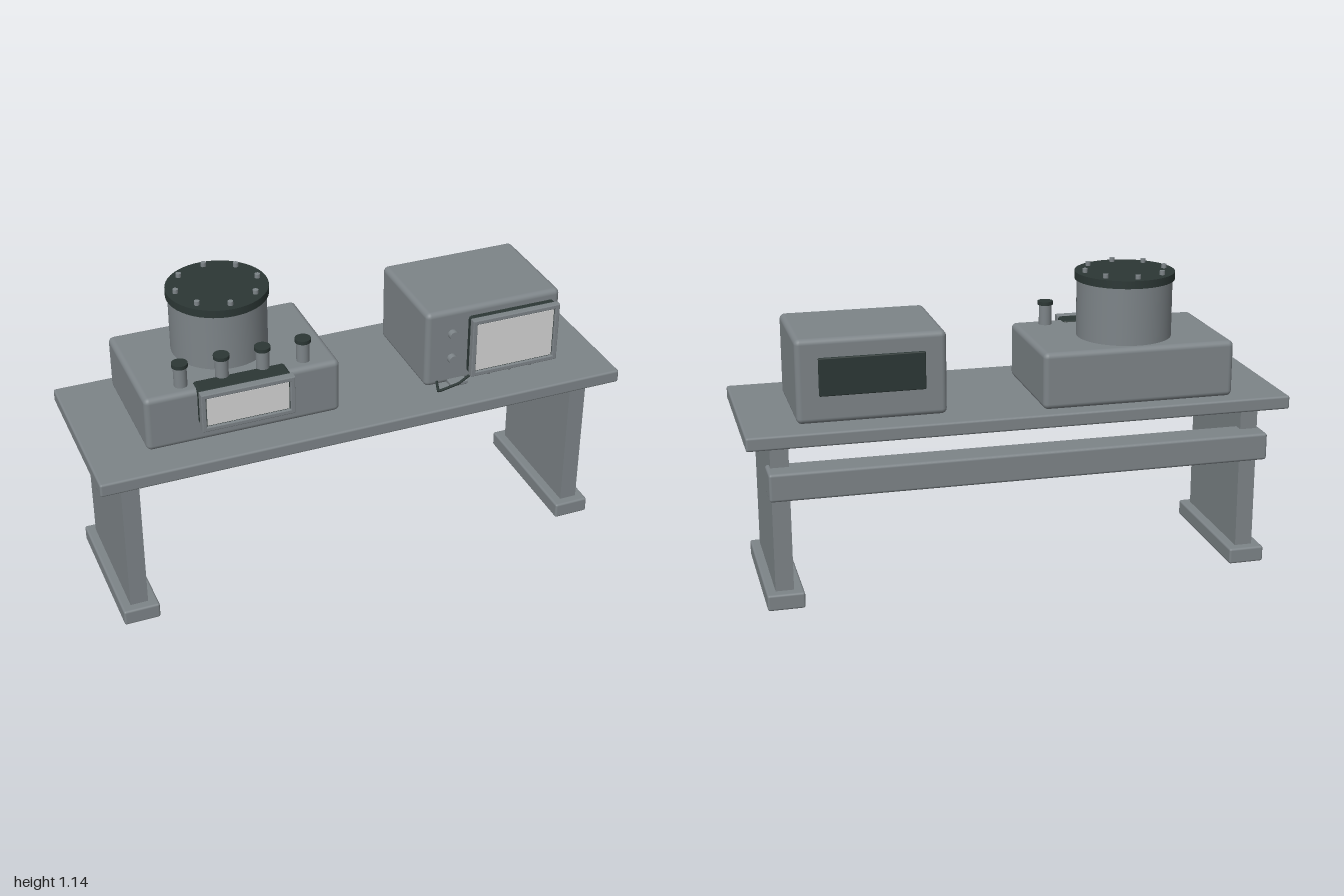
import * as THREE from 'three';
import { RoundedBoxGeometry } from 'three/addons/geometries/RoundedBoxGeometry.js';

const mat = (name, color) => {
  const m = new THREE.MeshStandardMaterial({ color });
  m.name = name;
  return m;
};

export function createModel() {
  const gray = mat('steel gray', 0x7d8488);
  const dark = mat('dark green black', 0x2c3735);
  const light = mat('screen light gray', 0xd4d4d4);
  const root = new THREE.Group();
  root.name = 'workbench';

  const add = (name, geo, material, x = 0, y = 0, z = 0, parent = root) => {
    const m = new THREE.Mesh(geo, material);
    m.name = name;
    m.position.set(x, y, z);
    parent.add(m);
    return m;
  };
  // Rounded box given by its minimum and maximum on each axis
  const box = (name, material, [x0, x1], [y0, y1], [z0, z1], r = 0.01, parent = root) =>
    add(name, new RoundedBoxGeometry(x1 - x0, y1 - y0, z1 - z0, 3, r), material,
      (x0 + x1) / 2, (y0 + y1) / 2, (z0 + z1) / 2, parent);
  // Upright cylinder given by its bottom and top
  const cyl = (name, material, r, y0, y1, x, z, parent, sides = 24) =>
    add(name, new THREE.CylinderGeometry(r, r, y1 - y0, sides), material, x, (y0 + y1) / 2, z, parent);
  const rect = (P, x0, x1, y0, y1) => {
    const p = new P();
    p.moveTo(x0, y0);
    p.lineTo(x1, y0);
    p.lineTo(x1, y1);
    p.lineTo(x0, y1);
    p.closePath();
    return p;
  };
  // Bezel frame with a dark recess and a light display plate
  const screen = (name, [x0, x1], [y0, y1], [z0, z1], parent) => {
    const g = new THREE.Group();
    g.name = name;
    parent.add(g);
    const b = 0.014, e = 0.003;
    const s = rect(THREE.Shape, x0 + e, x1 - e, y0 + e, y1 - e);
    s.holes.push(rect(THREE.Path, x0 + b, x1 - b, y0 + b, y1 - b));
    add('bezel', new THREE.ExtrudeGeometry(s, {
      depth: z1 - z0 - 2 * e, bevelThickness: e, bevelSize: e, bevelSegments: 2,
    }), gray, 0, 0, z0 + e, g);
    const w = x1 - x0, h = y1 - y0, cx = (x0 + x1) / 2, cy = (y0 + y1) / 2;
    add('screenRim', new THREE.BoxGeometry(w - 2 * b, h - 2 * b, z1 - z0 - 0.01), dark,
      cx, cy, (z0 + z1 - 0.01) / 2, g);
    add('display', new THREE.BoxGeometry(w - 0.042, h - 0.042, 0.005), light, cx, cy, z1 - 0.009, g);
  };

  // Bench
  box('tabletop', gray, [-1, 1], [0.62, 0.67], [-0.33, 0.33], 0.008);
  for (const s of [-1, 1]) {
    const side = s > 0 ? 'left' : 'right';
    add(side + 'Leg', new THREE.BoxGeometry(0.066, 0.58, 0.488), gray, s * 0.878, 0.34, 0.002);
    add(side + 'Foot', new RoundedBoxGeometry(0.135, 0.06, 0.56, 3, 0.008), gray, s * 0.877, 0.03, 0);
  }
  box('rearBeam', gray, [-0.925, 0.925], [0.423, 0.526], [-0.315, -0.195]);

  // Chamber unit
  const chamber = new THREE.Group();
  chamber.name = 'chamberUnit';
  root.add(chamber);
  box('chamberBase', gray, [-0.793, -0.072], [0.67, 0.88], [-0.277, 0.197], 0.02, chamber);
  const cx = -0.433, cz = -0.074;
  cyl('chamberDrum', gray, 0.176, 0.87, 1.092, cx, cz, chamber, 48);
  cyl('chamberLid', dark, 0.184, 1.092, 1.121, cx, cz, chamber, 48);
  for (let i = 0; i < 8; i++) {
    const a = i * Math.PI / 4;
    cyl('lidBolt', gray, 0.01, 1.115, 1.136, cx + 0.152 * Math.cos(a), cz + 0.152 * Math.sin(a), chamber, 12);
  }
  for (let i = 0; i < 4; i++) {
    const x = -0.645 + i * 0.151;
    cyl('port', gray, 0.024, 0.875, 0.958, x, 0.14, chamber);
    cyl('portCap', dark, 0.029, 0.956, 0.97, x, 0.14, chamber);
  }
  box('displayHousing', dark, [-0.604, -0.264], [0.748, 0.886], [0.138, 0.222], 0.012, chamber);
  screen('chamberScreen', [-0.606, -0.262], [0.738, 0.888], [0.218, 0.25], chamber);

  // Controller unit
  const control = new THREE.Group();
  control.name = 'controllerUnit';
  root.add(control);
  box('controllerCase', gray, [0.272, 0.81], [0.672, 0.978], [-0.235, 0.176], 0.02, control);
  box('screenBacking', dark, [0.438, 0.782], [0.708, 0.942], [0.16, 0.202], 0.012, control);
  screen('controllerScreen', [0.435, 0.786], [0.71, 0.944], [0.198, 0.225], control);
  box('rearPanel', dark, [0.35, 0.73], [0.773, 0.911], [-0.245, -0.225], 0.004, control);
  for (const y of [0.78, 0.882]) {
    add('dial', new THREE.CylinderGeometry(0.018, 0.018, 0.03, 24), gray, 0.375, y, 0.184, control)
      .rotation.x = Math.PI / 2;
  }
  for (const x of [0.51, 0.595, 0.68]) {
    add('button', new THREE.SphereGeometry(0.007, 12, 8), gray, x, 0.709, 0.215, control);
  }

  // Bent stand wire under the controller
  const wire = new THREE.CurvePath();
  const pts = [[0.32, 0.69, 0.17], [0.305, 0.677, 0.222], [0.39, 0.688, 0.215], [0.45, 0.71, 0.2]]
    .map((p) => new THREE.Vector3(...p));
  for (let i = 0; i < 3; i++) wire.add(new THREE.LineCurve3(pts[i], pts[i + 1]));
  add('standWire', new THREE.TubeGeometry(wire, 30, 0.005, 8), dark, 0, 0, 0, control);
  box('wireClip', gray, [0.36, 0.43], [0.674, 0.69], [0.17, 0.21], 0.004, control);

  return root;
}
